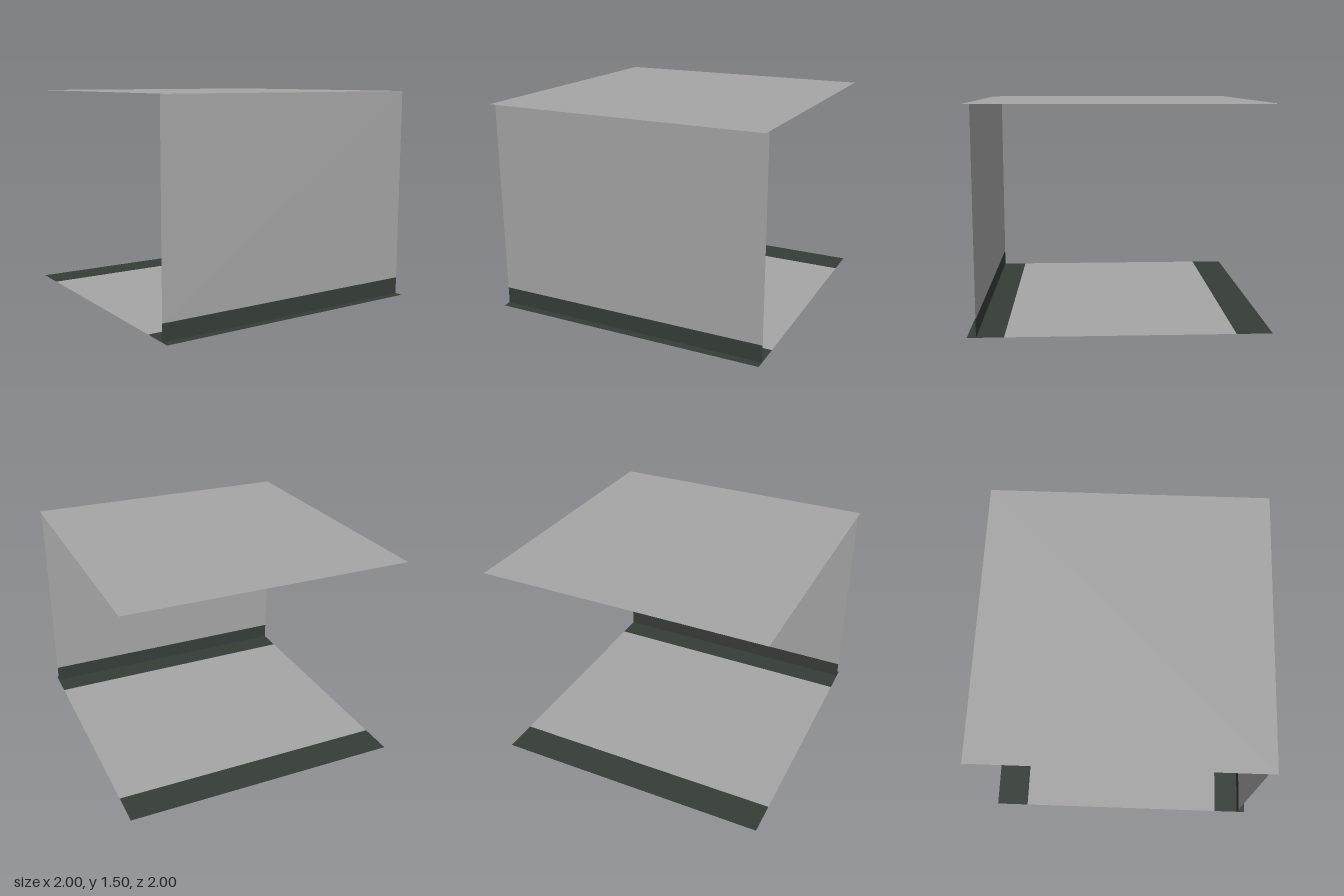
import * as THREE from 'three';

const grey = new THREE.MeshStandardMaterial({ color: 0xa6a6a6, side: THREE.DoubleSide });
grey.name = 'concrete grey';
const dark = new THREE.MeshStandardMaterial({ color: 0x363d37, side: THREE.DoubleSide });
dark.name = 'dark green trim';

const WIDTH = 2, HEIGHT = 1.5, WALL_Z = 0.94, SKIRTING = 0.12, BORDER = 0.24;

export function createModel() {
  const model = new THREE.Group();
  model.name = 'openRoom';

  // Level sheet across the full width, from z0 to z1
  const level = (name, material, y, z0, z1) => {
    const mesh = new THREE.Mesh(new THREE.PlaneGeometry(WIDTH, z1 - z0).rotateX(-Math.PI / 2), material);
    mesh.position.set(0, y, (z0 + z1) / 2);
    mesh.name = name;
    model.add(mesh);
  };

  // Upright sheet across the full width, from y0 to y1
  const upright = (name, material, y0, y1) => {
    const mesh = new THREE.Mesh(new THREE.PlaneGeometry(WIDTH, y1 - y0), material);
    mesh.position.set(0, (y0 + y1) / 2, WALL_Z);
    mesh.name = name;
    model.add(mesh);
  };

  // Ceiling
  level('ceiling', grey, HEIGHT, -1, 1);

  // Floor with a dark border along front and back
  level('floor', grey, 0, -1 + BORDER, 1 - BORDER);
  level('backFloorBorder', dark, 0, -1, -1 + BORDER);
  level('frontFloorBorder', dark, 0, 1 - BORDER, 1);

  // Front wall with dark skirting
  upright('wall', grey, SKIRTING, HEIGHT);
  upright('wallSkirting', dark, 0, SKIRTING);

  return model;
}
